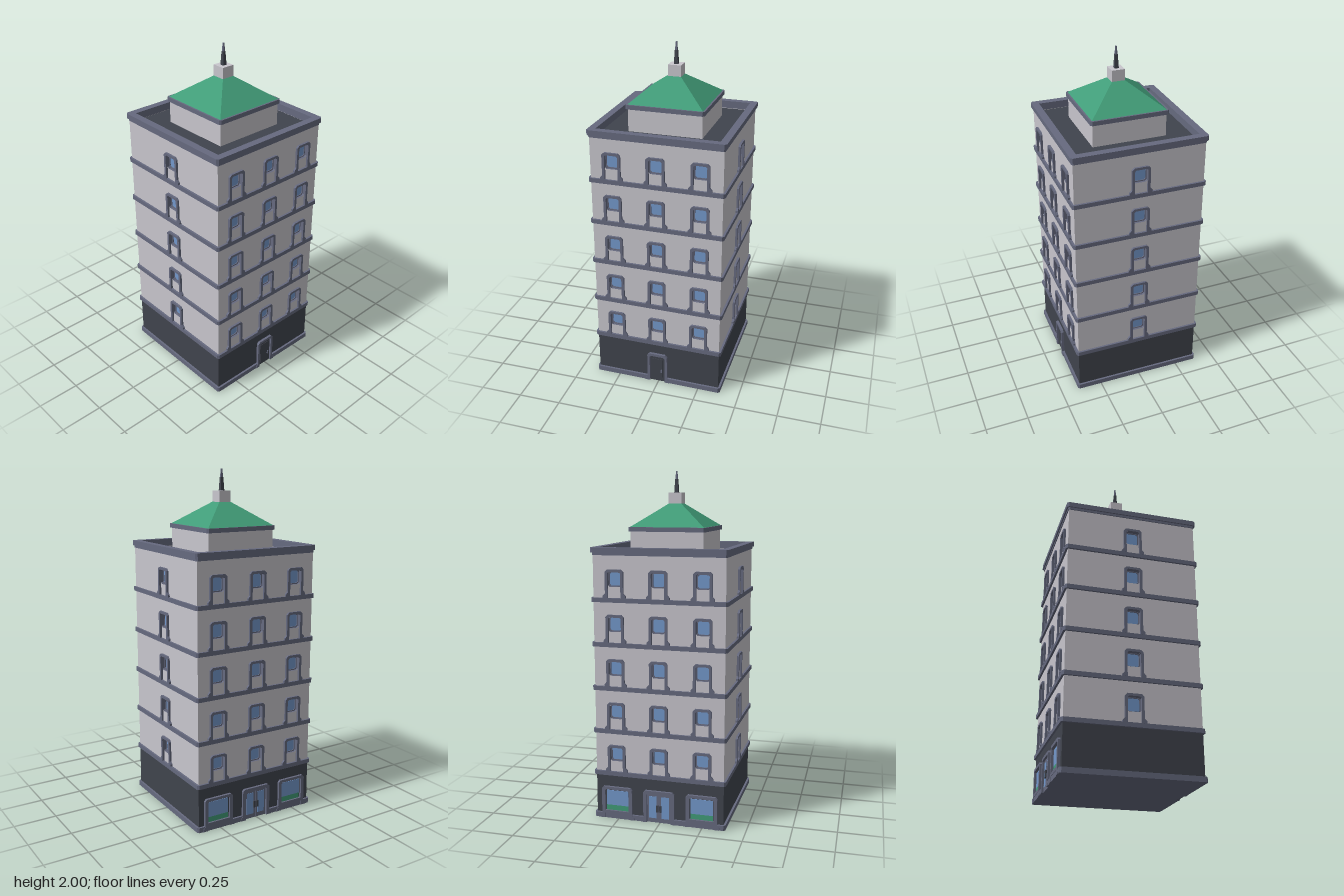
import * as THREE from 'three';

const paint = (name, color) => {
  const m = new THREE.MeshStandardMaterial({ color });
  m.name = name;
  return m;
};

export function createModel() {
  const wall = paint('pale wall', 0xc8c6cd);
  const slate = paint('slate trim', 0x666a7f);
  const dark = paint('dark grey', 0x40444d);
  const green = paint('roof green', 0x419c78);
  const glass = paint('window blue', 0x7398cb);

  const WALL = 0.379, SKIN = 0.02, FLOOR = 0.2535, FIRST = 0.287;
  const floors = [0, 1, 2, 3, 4].map(i => FIRST + i * FLOOR);
  const tower = new THREE.Group();
  tower.name = 'tower';

  const add = (parent, name, geo, mat, x = 0, y = 0, z = 0) => {
    const m = new THREE.Mesh(geo, mat);
    m.name = name;
    m.position.set(x, y, z);
    parent.add(m);
    return m;
  };
  const box = (parent, name, mat, w, h, d, x, y, z) =>
    add(parent, name, new THREE.BoxGeometry(w, h, d), mat, x, y, z);
  const poly = (pts, Type = THREE.Shape) => new Type(pts.map(p => new THREE.Vector2(...p)));
  const extrude = (shape, depth) => new THREE.ExtrudeGeometry(shape, { depth, bevelEnabled: false });

  // Rectangle with cut corners
  const cutRect = (x0, x1, y0, y1, c) => [
    [x0 + c, y0], [x1 - c, y0], [x1, y0 + c], [x1, y1 - c],
    [x1 - c, y1], [x0 + c, y1], [x0, y1 - c], [x0, y0 + c]];

  // Horizontal slab with cut corners and an optional square opening
  const slab = (name, mat, half, y0, y1, cut, hole = 0) => {
    const s = poly(cutRect(-half, half, -half, half, cut));
    if (hole) s.holes.push(poly(cutRect(-hole, hole, -hole, hole, 0.0005), THREE.Path));
    add(tower, name, extrude(s, y1 - y0).rotateX(-Math.PI / 2), mat, 0, y0, 0);
  };

  // Surround with cut top corners, open at the bottom, with flared feet
  const surround = (ow, oh, iw, ih, c) => {
    const right = [[ow + 0.013, 0], [ow + 0.013, 0.012], [ow, 0.026], [ow, oh - c], [ow - c, oh]];
    const inner = [[iw - c * 0.6, ih], [iw, ih - c * 0.6], [iw, 0]];
    const flip = list => list.map(([x, y]) => [-x, y]).reverse();
    return poly([...right, ...flip(right), ...flip(inner), ...inner]);
  };

  // Solid core, ground storey and notched plinth
  box(tower, 'core', dark, 0.71, 1.5, 0.71, 0, 0.78, 0);
  box(tower, 'groundStorey', dark, WALL * 2, 0.272, WALL * 2, 0, 0.137, 0);
  const P = 0.391, C = 0.01, F = 0.05, B = 0.085, N = 0.38;
  add(tower, 'plinth', extrude(poly([
    [-P + C, -P], [-F, -P], [-F, -N], [F, -N], [F, -P], [P - C, -P], [P, -P + C],
    [P, P - C], [P - C, P], [B, P], [B, N], [-B, N], [-B, P], [-P + C, P],
    [-P, P - C], [-P, -P + C]]), 0.03).rotateX(-Math.PI / 2), slate);

  // Bands between storeys
  floors.forEach(y => slab('storeyBand', slate, P, y - 0.025, y, C));

  // Corner posts close the wall panels
  for (const sx of [-1, 1]) for (const sz of [-1, 1])
    box(tower, 'cornerPost', wall, SKIN, 1.28, SKIN, sx * (WALL - SKIN / 2), 0.91, sz * (WALL - SKIN / 2));

  const frameGeo = extrude(surround(0.053, 0.159, 0.038, 0.145, 0.013), 0.013);
  const opening = [-0.038, 0.038, 0.062, 0.145, 0.008];
  const sash = poly(cutRect(...opening));
  sash.holes.push(poly(cutRect(-0.033, 0.033, 0.068, 0.14, 0.008), THREE.Path));
  const sashGeo = extrude(sash, 0.007);

  // Upper walls: front, right, back, left
  const sides = [[-0.253, 0, 0.253], [0], [-0.253, 0, 0.253], [0]].map((columns, k) => {
    const side = new THREE.Group();
    side.name = ['frontFacade', 'leftFacade', 'backFacade', 'rightFacade'][k];
    side.rotation.y = k * Math.PI / 2;
    tower.add(side);
    const hw = WALL - SKIN, panel = poly([[-hw, 0.27], [hw, 0.27], [hw, 1.55], [-hw, 1.55]]);
    for (const x of columns) for (const y of floors) {
      panel.holes.push(poly(cutRect(...opening).map(([a, b]) => [a + x, b + y]), THREE.Path));
      add(side, 'windowFrame', frameGeo, slate, x, y, WALL - 0.0005);
      add(side, 'windowSash', sashGeo, slate, x, y, hw);
      box(side, 'windowGlass', glass, 0.076, 0.083, 0.004, x, y + 0.1035, hw);
    }
    add(side, 'wallPanel', extrude(panel, SKIN), [wall, slate], 0, 0, hw);
    return side;
  });

  // Front door
  const [front, , back] = sides;
  add(front, 'doorFrame', extrude(surround(0.062, 0.196, 0.047, 0.18, 0.014), 0.016), slate, 0, 0, WALL - 0.001);
  box(front, 'door', dark, 0.092, 0.174, 0.006, 0, 0.087, WALL + 0.001);
  box(front, 'doorPanel', dark, 0.066, 0.14, 0.004, 0, 0.088, WALL + 0.005);
  box(front, 'doorHandle', slate, 0.008, 0.022, 0.008, 0.026, 0.075, WALL + 0.008);

  // Shop windows on the back
  const shopGeo = extrude(surround(0.092, 0.193, 0.072, 0.176, 0.012), 0.016);
  for (const x of [-0.253, 0.253]) {
    add(back, 'shopFrame', shopGeo, slate, x, 0, WALL - 0.001);
    box(back, 'shopSill', slate, 0.146, 0.018, 0.015, x, 0.038, WALL + 0.0065);
    box(back, 'shopGlass', glass, 0.132, 0.09, 0.006, x, 0.123, WALL);
    box(back, 'shopDisplay', green, 0.132, 0.031, 0.006, x, 0.0625, WALL);
  }

  // Double entrance doors on the back
  add(back, 'entranceFrame', shopGeo, slate, 0, 0, WALL - 0.001);
  for (const s of [-1, 1]) {
    box(back, 'entranceDoor', slate, 0.07, 0.175, 0.005, s * 0.036, 0.0875, WALL + 0.001);
    box(back, 'entranceGlass', glass, 0.046, 0.132, 0.004, s * 0.037, 0.092, WALL + 0.003);
    box(back, 'entranceHandle', dark, 0.012, 0.04, 0.008, s * 0.01, 0.085, WALL + 0.008);
  }

  // Cornice, parapet and roof deck
  slab('corniceMoulding', slate, 0.384, 1.537, 1.552, 0.008, 0.351);
  slab('parapet', slate, 0.392, 1.551, 1.58, 0.011, 0.35);
  box(tower, 'roofDeck', dark, 0.716, 0.02, 0.716, 0, 1.522, 0);

  // Penthouse with hipped roof
  box(tower, 'penthouse', wall, 0.426, 0.15, 0.426, 0, 1.595, 0);
  slab('eaves', slate, 0.225, 1.661, 1.686, 0.01);
  const taper = (name, mat, r0, r1, y0, y1) =>
    add(tower, name, new THREE.CylinderGeometry(r1 * Math.SQRT2, r0 * Math.SQRT2, y1 - y0, 4, 1)
      .rotateY(Math.PI / 4).toNonIndexed(), mat, 0, (y0 + y1) / 2, 0).geometry.computeVertexNormals();
  taper('hippedRoof', green, 0.215, 0.036, 1.686, 1.816);

  // Pedestal and spire
  box(tower, 'pedestal', wall, 0.076, 0.068, 0.076, 0, 1.844, 0);
  taper('spireBase', dark, 0.012, 0.0075, 1.877, 1.955);
  taper('spireTip', slate, 0.0065, 0.0035, 1.955, 2);

  // The whole tower stands very slightly turned
  tower.rotation.y = -0.016;
  const model = new THREE.Group();
  model.name = 'towerBuilding';
  model.add(tower);
  return model;
}
